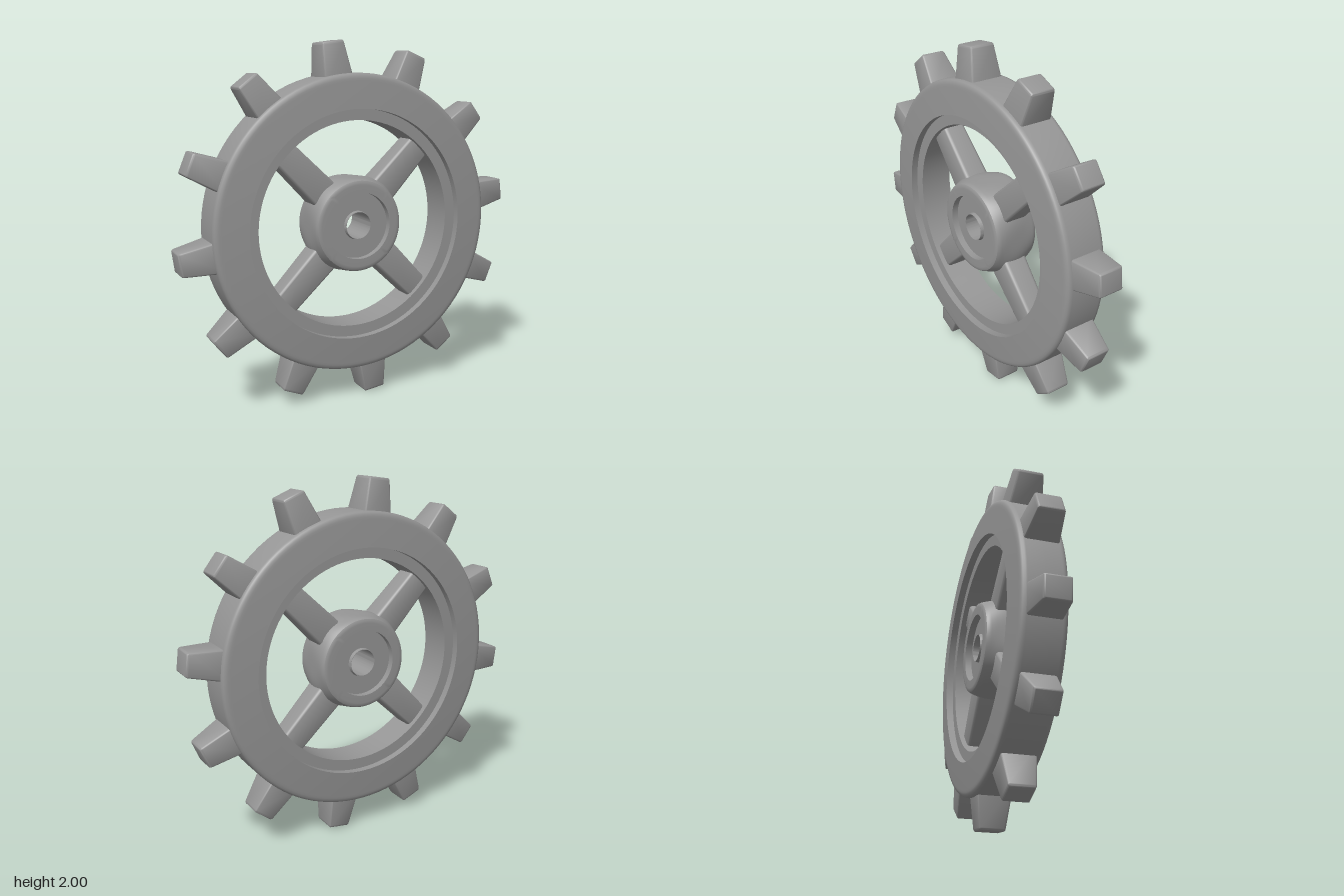
import * as THREE from 'three';
import { toCreasedNormals } from 'three/addons/utils/BufferGeometryUtils.js';
import { RoundedBoxGeometry } from 'three/addons/geometries/RoundedBoxGeometry.js';

const material = new THREE.MeshStandardMaterial({ color: 0x969696 });

function eachVertex(geometry, rule) {
  const p = geometry.attributes.position;
  const v = new THREE.Vector3();
  for (let i = 0; i < p.count; i++) {
    v.fromBufferAttribute(p, i);
    rule(v);
    p.setXYZ(i, v.x, v.y, v.z);
  }
}

// Ring about the z axis: half profile (radius, z) from z = 0 outside to z = 0 inside, mirrored front to back
function ring(half, reshape = () => {}) {
  const back = half.slice(1).reverse().map(([r, z]) => [r, -z]);
  const points = [...back, ...half].map(([r, z]) => new THREE.Vector2(r, z));
  const geometry = new THREE.LatheGeometry(points, 96);
  geometry.rotateX(Math.PI / 2);
  eachVertex(geometry, reshape);
  return toCreasedNormals(geometry, 0.6);
}

// Rounded bar from radius r0 to r1 along +y, tapering from [width, depth] a to b
function taperedBar(r0, r1, a, b, radius) {
  const length = r1 - r0;
  const geometry = new RoundedBoxGeometry(a[0], length, a[1], 3, radius);
  eachVertex(geometry, (v) => {
    const t = v.y / length + 0.5;
    v.x *= 1 + (b[0] / a[0] - 1) * t;
    v.z *= 1 + (b[1] / a[1] - 1) * t;
    v.y += (r0 + r1) / 2;
  });
  return toCreasedNormals(geometry, 0.6);
}

export function createModel() {
  const wheel = new THREE.Group();
  wheel.name = 'gearWheel';

  const add = (name, geometry, angle = 0) => {
    const mesh = new THREE.Mesh(geometry, material);
    mesh.name = name;
    mesh.rotation.z = angle;
    wheel.add(mesh);
  };

  // Rim: nearly flat faces, narrow rounded outer edge and a recessed inner lip
  add('rim', ring([
    [0.827, 0], [0.827, 0.09], [0.826, 0.1], [0.821, 0.112], [0.811, 0.119], [0.798, 0.122],
    [0.785, 0.1235], [0.65, 0.134], [0.638, 0.135], [0.638, 0.095], [0.576, 0.095], [0.576, 0],
  ]));

  // Hub with recessed faces and a bore collar, swelling towards the four spokes
  add('hub', ring([
    [0.258, 0], [0.258, 0.035], [0.258, 0.07], [0.258, 0.1], [0.256, 0.115], [0.25, 0.126],
    [0.24, 0.131], [0.228, 0.132], [0.185, 0.132], [0.185, 0.095], [0.08, 0.095],
    [0.076, 0.115], [0.074, 0.115], [0.074, 0],
  ], (v) => {
    const r = Math.hypot(v.x, v.y);
    if (r < 0.2) return;
    const swell = Math.max(0, 1 - (v.z / 0.11) ** 2);
    const k = 1 + (0.03 / r) * swell * (1 - Math.cos(4 * Math.atan2(v.y, v.x))) / 2;
    v.x *= k;
    v.y *= k;
  }));

  // Four diagonal spokes
  const spoke = taperedBar(0.2, 0.62, [0.172, 0.15], [0.145, 0.13], 0.025);
  for (let i = 0; i < 4; i++) add('spoke', spoke, Math.PI / 4 + i * Math.PI / 2);

  // Twelve tapered teeth
  const tooth = taperedBar(0.77, 1.0, [0.178, 0.2], [0.126, 0.142], 0.014);
  for (let i = 0; i < 12; i++) add('tooth', tooth, THREE.MathUtils.degToRad(7.5 + i * 30));

  wheel.position.y = 1;
  const model = new THREE.Group();
  model.name = 'model';
  model.add(wheel);
  return model;
}
